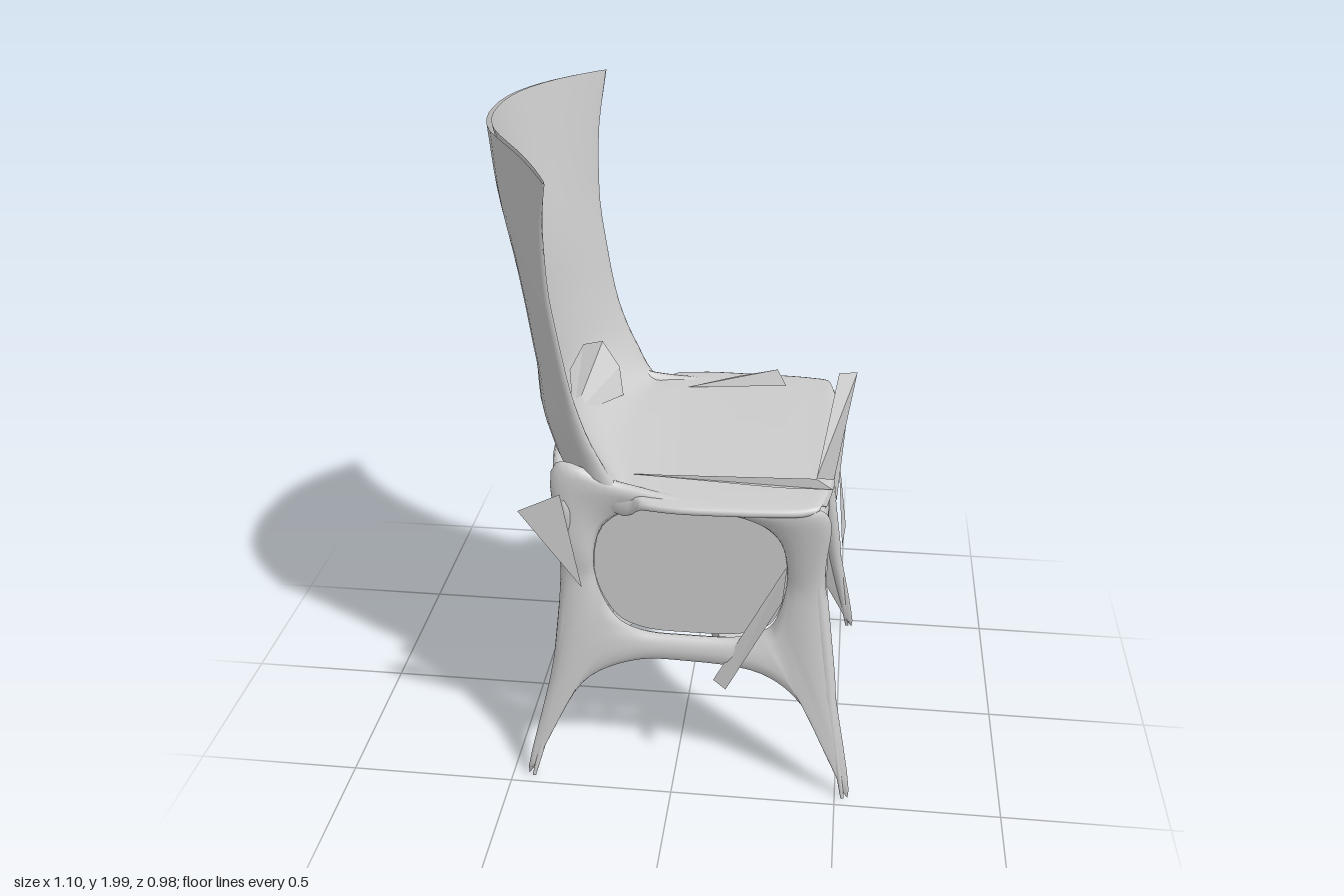
import * as THREE from 'three';
import { mergeVertices } from 'three/addons/utils/BufferGeometryUtils.js';

const smooth = new THREE.MeshStandardMaterial({ color: 0xcccccc, side: THREE.DoubleSide });
const faceted = new THREE.MeshStandardMaterial({ color: 0xcccccc, side: THREE.DoubleSide, flatShading: true });
const { smoothstep, clamp, lerp } = THREE.MathUtils;

// Surface from a rule point(u, v), u and v in 0..1; seams are welded
function surface(point, nu, nv) {
  const pos = [], idx = [];
  for (let i = 0; i <= nu; i++) for (let j = 0; j <= nv; j++) pos.push(...point(i / nu, j / nv));
  for (let i = 0; i < nu; i++) for (let j = 0; j < nv; j++) {
    const a = i * (nv + 1) + j, b = a + nv + 1;
    idx.push(a, b, a + 1, b, b + 1, a + 1);
  }
  const raw = new THREE.BufferGeometry();
  raw.setAttribute('position', new THREE.Float32BufferAttribute(pos, 3));
  raw.setIndex(idx);
  const geo = mergeVertices(raw, 1e-4);
  geo.computeVertexNormals();
  return geo;
}

// Flat polygon given by its corners
function sheet(corners) {
  const geo = new THREE.BufferGeometry().setFromPoints(corners.map(p => new THREE.Vector3(...p)));
  const idx = [];
  for (let i = 1; i < corners.length - 1; i++) idx.push(0, i, i + 1);
  geo.setIndex(idx);
  geo.computeVertexNormals();
  return geo;
}

const curve = (pts, closed) => new THREE.CatmullRomCurve3(pts.map(([a, b]) => new THREE.Vector3(a, b, 0)), closed);
const mirrored = half => [...half, ...half.slice(0, -1).reverse().map(([a, b]) => [-a, b])];

// Piecewise linear lookup between [y, value] stops
function profile(stops) {
  return y => {
    for (let i = 1; i < stops.length; i++) {
      const [y0, v0] = stops[i - 1], [y1, v1] = stops[i];
      if (y <= y1 || i === stops.length - 1) return lerp(v0, v1, clamp((y - y0) / (y1 - y0), 0, 1));
    }
  };
}

export function createModel() {
  const model = new THREE.Group();
  const add = (name, geo, mat) => {
    const mesh = new THREE.Mesh(geo, mat);
    mesh.name = name;
    model.add(mesh);
    return mesh;
  };

  // Seat and backrest in one sweep: centre x, centre y, half width, forward curl of the edge, thickness
  const stations = [
    [0.465, 0.97, 0.39, -0.03, 0.005], [0.455, 0.995, 0.43, -0.03, 0.04], [0.36, 1.0, 0.458, -0.01, 0.05],
    [0.22, 1.0, 0.468, 0, 0.05], [0.05, 1.0, 0.472, 0, 0.05], [-0.1, 1.005, 0.455, 0.02, 0.06],
    [-0.25, 1.03, 0.41, 0.125, 0.15], [-0.35, 1.13, 0.405, 0.155, 0.09], [-0.395, 1.3, 0.4, 0.13, 0.055],
    [-0.44, 1.55, 0.41, 0.13, 0.045], [-0.5, 1.8, 0.44, 0.18, 0.035], [-0.54, 1.99, 0.485, 0.235, 0.015],
  ];
  const centre = new THREE.CatmullRomCurve3(stations.map(s => new THREE.Vector3(s[0], s[1], 0)));
  const section = new THREE.CatmullRomCurve3(stations.map(s => new THREE.Vector3(s[2], s[3], s[4])));
  add('seatAndBackrest', surface((u, v) => {
    const c = centre.getPoint(u), s = section.getPoint(u), d = centre.getTangent(u);
    const angle = v * Math.PI * 2, across = Math.cos(angle), sin = Math.sin(angle);
    const off = s.z * 0.5 * (Math.sign(sin) * Math.abs(sin) ** 0.5 - 1);
    const cornerDrop = 0.07 * Math.max(0, across) ** 8 * u ** 12;
    return [c.x + s.y * Math.abs(across) ** 2.3 + d.y * off, c.y - d.x * off - cornerDrop,
      s.x * across - 0.02 * (1 - u)];
  }, 48, 48), smooth);

  // Side frames: an opening inside an outline that runs down into two pointed legs
  const sideHole = [[0.05, 0.95], [0.2, 0.94], [0.3, 0.87], [0.33, 0.75], [0.32, 0.65], [0.29, 0.57],
    [0.25, 0.54], [0.18, 0.52], [0.03, 0.515], [-0.08, 0.52], [-0.16, 0.55], [-0.2, 0.6],
    [-0.23, 0.67], [-0.24, 0.75], [-0.21, 0.87], [-0.1, 0.94]];
  const sideOutline = [[0.05, 0.99], [0.25, 0.985], [0.435, 0.97], [0.44, 0.75], [0.47, 0.45], [0.54, 0.005],
    [0.4, 0.29], [0.27, 0.4], [0.03, 0.43], [-0.12, 0.42], [-0.28, 0.33], [-0.45, 0.01],
    [-0.37, 0.4], [-0.34, 0.72], [-0.34, 1.07], [-0.17, 1.02]];
  // End arches: open down to the feet
  const archInner = mirrored([[0.465, 0.005], [0.385, 0.3], [0.345, 0.52], [0.31, 0.7], [0.25, 0.83],
    [0.17, 0.92], [0, 0.935]]);
  const archOuter = mirrored([[0.47, 0.005], [0.43, 0.3], [0.41, 0.52], [0.395, 0.75], [0.4, 0.96],
    [0.2, 0.99], [0, 0.99]]);

  const sideDepth = profile([[0, 0.465], [0.35, 0.405], [0.7, 0.375], [0.9, 0.4], [1, 0.415]]);
  const frontDepth = profile([[0, 0.525], [0.35, 0.465], [0.7, 0.42], [0.9, 0.415], [1, 0.42]]);
  const backDepth = profile([[0, 0.435], [0.35, 0.35], [0.7, 0.315], [0.9, 0.36], [1, 0.39]]);
  // The frames pull in at the upper rear corners to meet the backrest
  const rearTuck = (a, b) => 0.035 * smoothstep(b, 0.75, 1) * smoothstep(-a, -0.1, 0.2);
  const rearCurl = (a, b) => 0.4 * a * a * smoothstep(b, 0.7, 1);
  const frames = [
    ['left', sideHole, sideOutline, true, sideDepth, (a, b, d) => [a, b, d - rearTuck(a, b)]],
    ['right', sideHole, sideOutline, true, sideDepth, (a, b, d) => [a, b, rearTuck(a, b) - d]],
    ['front', archInner, archOuter, false, frontDepth, (a, b, d) => [d, b, a]],
    ['rear', archInner, archOuter, false, backDepth, (a, b, d) => [rearCurl(a, b) - d, b, a]],
  ];
  for (const [name, hole, outline, closed, depth, place] of frames) {
    const inner = curve(hole, closed), outer = curve(outline, closed);
    add(name + 'LegFrame', surface((u, v) => {
      const t = closed ? u % 1 : u, angle = v * Math.PI * 2;
      const p = inner.getPoint(t).lerp(outer.getPoint(t), 0.5 + 0.5 * Math.cos(angle));
      const thick = 0.025 * clamp(0.2 + p.y * 2, 0.2, 1);
      return place(p.x, Math.max(p.y, 0), depth(p.y) + thick * Math.sin(angle));
    }, 96, 12), smooth);
  }

  // Flat panels closing the side openings
  const opening = new THREE.Shape(curve(sideHole, true).getPoints(48).slice(0, -1).map(p => new THREE.Vector2(p.x, p.y)));
  for (const [name, z] of [['leftPanel', 0.375], ['rightPanel', -0.375]])
    add(name, new THREE.ShapeGeometry(opening).translate(0, 0, z), faceted);

  // Folded sheet standing diagonally between the arches
  add('innerSheetLower', sheet([[0.28, 0.46, -0.34], [-0.1, 0.94, 0.17], [-0.15, 0.84, 0.25],
    [-0.18, 0.7, 0.31], [-0.2, 0.46, 0.35]]), faceted);
  add('innerSheetUpper', sheet([[-0.1, 0.94, 0.17], [0.28, 0.46, -0.34], [0.27, 0.7, -0.31],
    [0.26, 0.84, -0.25], [0.22, 0.94, -0.18]]), faceted);

  // Skewed bar under the frame
  const bar = add('underBar', new THREE.BoxGeometry(0.09, 0.06, 0.62), faceted);
  bar.position.set(0.08, 0.42, 0.02);
  bar.rotation.y = 0.33;

  // Thin strip along the front of the seat
  add('frontStripTop', sheet([[0.4, 1.01, 0.28], [0.45, 1.04, 0.34], [0.51, 1.01, -0.47], [0.45, 1.02, -0.44]]), faceted);
  add('frontStripFace', sheet([[0.45, 1.04, 0.34], [0.46, 0.97, 0.34], [0.49, 0.97, -0.44], [0.51, 1.01, -0.47]]), faceted);

  // Loose angular plates
  const plates = {
    frontCornerPlate: [[0.51, 1.02, -0.47], [0.47, 0.95, -0.1], [0.46, 0.7, -0.4]],
    leftBracePlate: [[0.33, 0.78, 0.39], [0.32, 0.68, 0.43], [0.16, 0.37, 0.45], [0.12, 0.38, 0.42]],
    rightBracePlate: [[-0.42, 1.0, -0.48], [-0.32, 0.95, -0.43], [-0.09, 0.4, -0.49], [-0.17, 0.5, -0.43]],
    rearLeftPlate: [[-0.44, 0.95, 0.46], [-0.32, 1.0, 0.44], [-0.27, 0.68, 0.42]],
    rearRightPlate: [[-0.43, 1.03, -0.48], [-0.28, 0.98, -0.42], [-0.38, 0.85, -0.4]],
    frontLegPlate: [[0.46, 0.75, -0.42], [0.5, 0.41, -0.49], [0.49, 0.4, -0.36]],
    seatRightPlate: [[-0.04, 1.005, -0.305], [0.12, 1.03, -0.355], [0.25, 1.06, -0.355], [0.28, 1.01, -0.34]],
    seatLeftPlate: [[-0.14, 1.005, 0.305], [0.4, 1.03, 0.32], [0.45, 1.0, 0.325], [0.3, 1.005, 0.34]],
    backrestPatch: [[-0.34, 1.08, 0.1], [-0.23, 1.03, -0.17], [-0.25, 1.1, -0.23],
      [-0.31, 1.17, -0.27], [-0.34, 1.23, -0.1], [-0.36, 1.2, 0.03]],
  };
  for (const [name, corners] of Object.entries(plates)) add(name, sheet(corners), faceted);

  return model;
}
